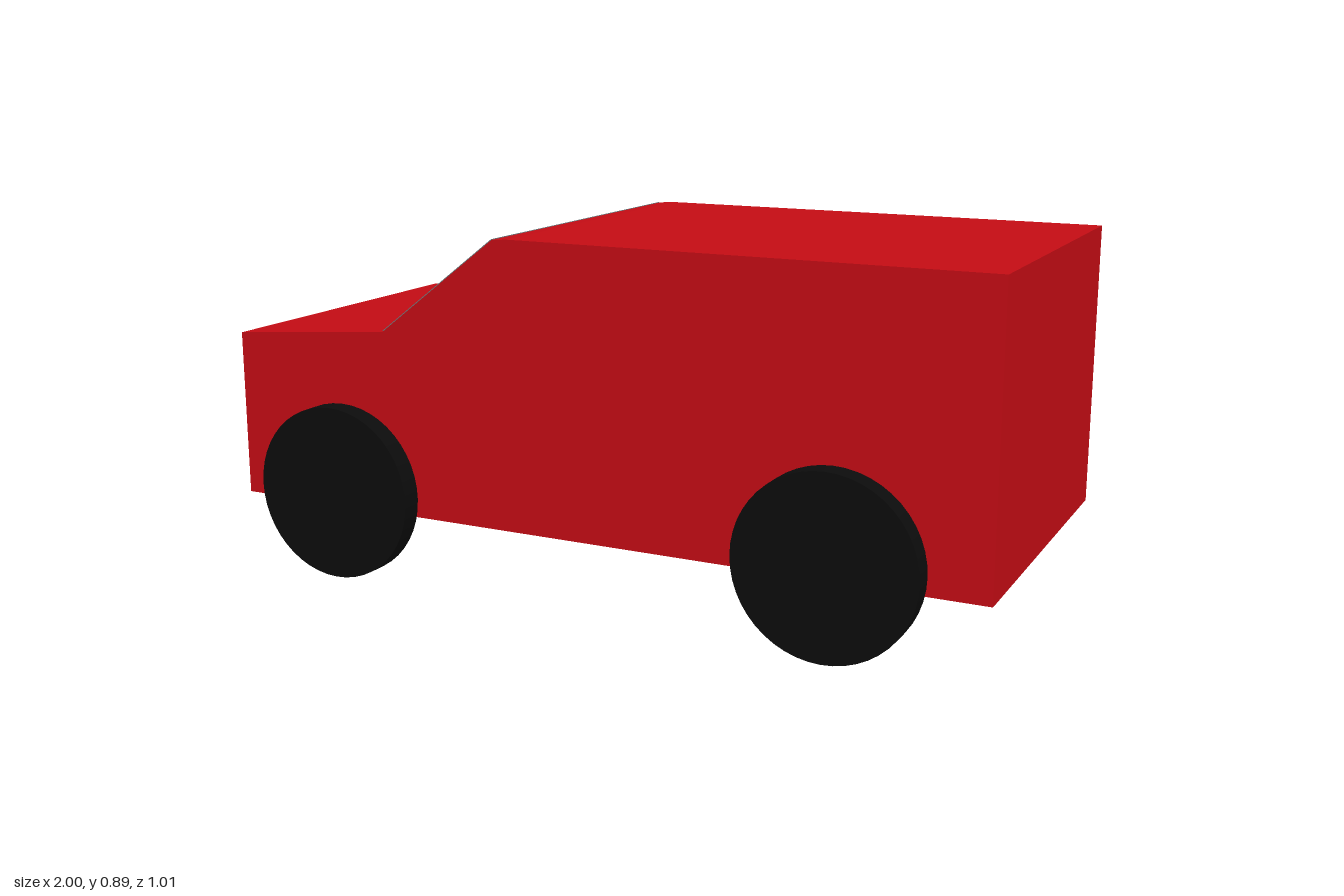
import * as THREE from 'three';

export function createModel() {
  const car = new THREE.Group();
  car.name = 'car';

  const red = new THREE.MeshStandardMaterial({ color: 0xc40c14 });
  const glass = new THREE.MeshStandardMaterial({ color: 0xa3b9be, side: THREE.DoubleSide });
  const black = new THREE.MeshStandardMaterial({ color: 0x0c0c0c });

  // Body: side profile extruded across the width
  const zBack = -0.447, zFront = 0.441;
  const width = zFront - zBack, zMid = (zFront + zBack) / 2;
  const hoodEnd = [-0.555, 0.637], roofStart = [-0.232, 0.884];
  const profile = [
    [-1, 0.17], [1, 0.174], [1, 0.887], [-0.19, 0.887], roofStart, hoodEnd, [-1, 0.598],
  ].map(([x, y]) => new THREE.Vector2(x, y));
  const body = new THREE.Mesh(
    new THREE.ExtrudeGeometry(new THREE.Shape(profile), { depth: width, bevelEnabled: false }), red);
  body.name = 'body';
  body.position.z = zBack;
  car.add(body);

  // Windshield: thin panel lying just above the sloped face
  const dx = roofStart[0] - hoodEnd[0], dy = roofStart[1] - hoodEnd[1];
  const slope = Math.atan2(dy, dx);
  const windshield = new THREE.Mesh(
    new THREE.PlaneGeometry(Math.hypot(dx, dy), width).rotateX(-Math.PI / 2).rotateZ(slope), glass);
  windshield.name = 'windshield';
  windshield.position.set(
    hoodEnd[0] + dx / 2 - 0.002 * Math.sin(slope),
    hoodEnd[1] + dy / 2 + 0.002 * Math.cos(slope),
    zMid);
  car.add(windshield);

  // Wheels: plain discs standing just clear of the body
  const wheelGeometry = new THREE.CylinderGeometry(0.221, 0.221, 0.054, 48).rotateX(Math.PI / 2);
  for (const [end, x] of [['hood', -0.68], ['rear', 0.637]]) {
    for (const [side, z] of [['Near', 0.479], ['Far', -0.479]]) {
      const wheel = new THREE.Mesh(wheelGeometry, black);
      wheel.name = `${end}Wheel${side}`;
      wheel.position.set(x, 0.223, z);
      car.add(wheel);
    }
  }

  return car;
}
